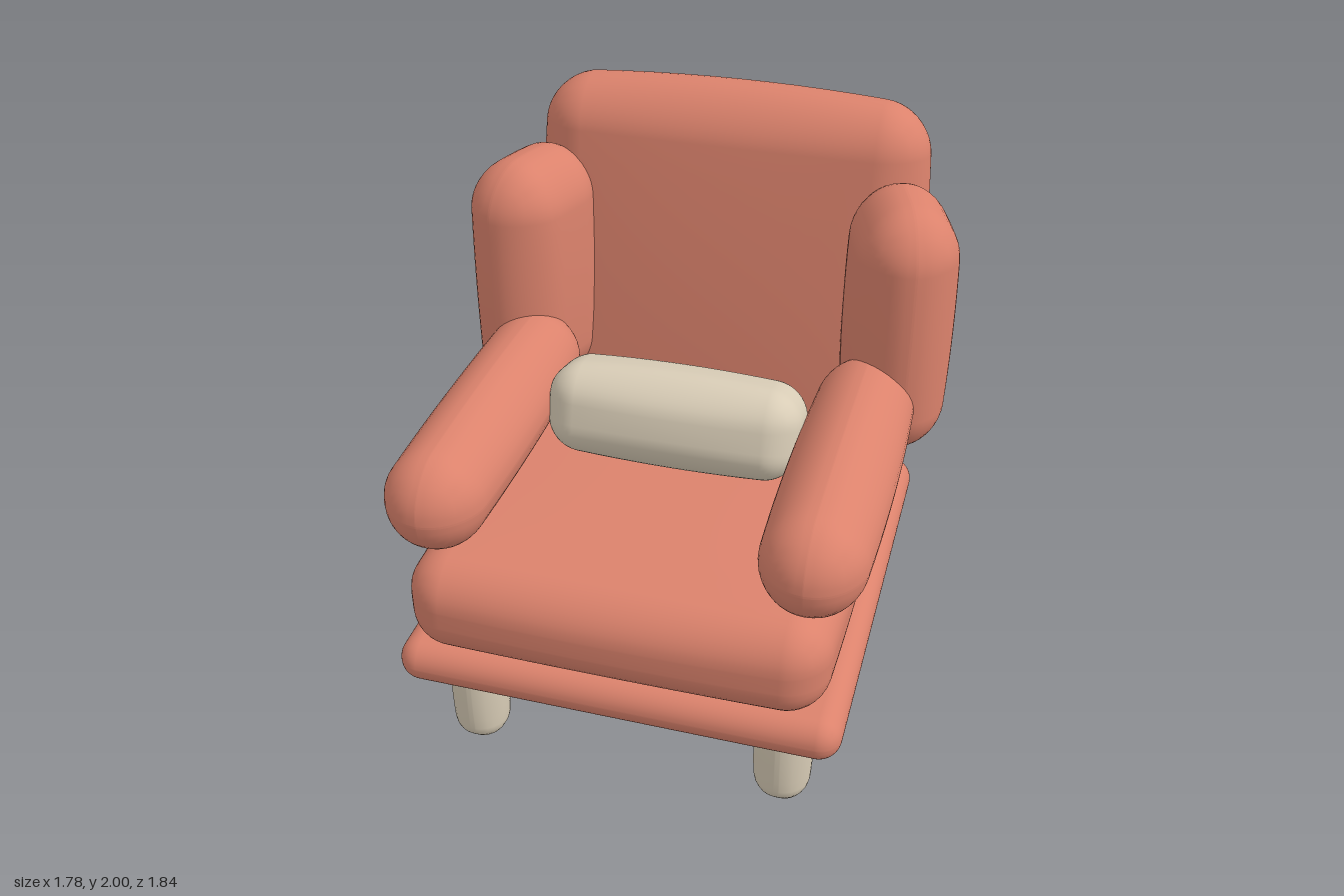
import * as THREE from 'three';
import { mergeVertices } from 'three/addons/utils/BufferGeometryUtils.js';

// Soft rounded block: overall size includes the outward puff of each face.
function cushionGeometry(size, radius, puff = [0, 0, 0], n = 20) {
  const half = size.map((s, i) => s / 2 - puff[i]);
  const inner = half.map((h) => Math.max(h - radius, 0.001));
  let geo = new THREE.BoxGeometry(2, 2, 2, n, n, n);
  geo.deleteAttribute('uv');
  geo.deleteAttribute('normal');
  geo = mergeVertices(geo, 1e-4);
  const pos = geo.attributes.position;
  const dir = new THREE.Vector3();
  for (let v = 0; v < pos.count; v++) {
    const core = [], out = [];
    for (let i = 0; i < 3; i++) {
      const t = pos.getComponent(v, i), a = Math.abs(t), s = Math.sign(t);
      // outer half of the grid forms the rounded edge, inner half the flat face
      core[i] = s * inner[i] * Math.min(a / 0.5, 1);
      out[i] = a > 0.5 ? s * Math.tan((a - 0.5) * Math.PI / 2) : 0;
    }
    dir.fromArray(out).normalize().multiplyScalar(radius);
    const p = core.map((c, i) => c + dir.getComponent(i));
    const q = p.map((c, i) => Math.min(Math.abs(c / half[i]), 1));
    for (let i = 0; i < 3; i++) {
      const j = (i + 1) % 3, k = (i + 2) % 3;
      const swell = (1 - q[j] ** 2) * (1 - q[k] ** 2);
      p[i] += puff[i] * (p[i] / half[i]) * swell;
    }
    pos.setXYZ(v, ...p);
  }
  geo.computeVertexNormals();
  return geo;
}

export function createModel() {
  const model = new THREE.Group();
  model.name = 'armchair';

  const coral = new THREE.MeshStandardMaterial({ color: 0xdb826c });
  coral.name = 'coral fabric';
  const cream = new THREE.MeshStandardMaterial({ color: 0xd8ccb6 });
  cream.name = 'cream';

  function add(name, geo, material, position, rotation = [0, 0, 0]) {
    const mesh = new THREE.Mesh(geo, material);
    mesh.name = name;
    mesh.position.set(...position);
    mesh.rotation.set(...rotation);
    model.add(mesh);
  }

  // Base and seat
  add('base', cushionGeometry([1.54, 0.16, 1.63], 0.078), coral, [0, 0.43, 0.065]);
  add('seatCushion', cushionGeometry([1.45, 0.385, 1.4], 0.14, [0.015, 0.015, 0.02]),
    coral, [0, 0.7, 0.22]);

  // Leaning backrest
  add('backrest', cushionGeometry([1.48, 1.51, 0.39], 0.165, [0.035, 0.035, 0.025]),
    coral, [0, 1.25, -0.68], [-0.115, 0, 0]);

  // Bolster pillow
  add('pillow', cushionGeometry([0.915, 0.36, 0.345], 0.11, [0.012, 0.022, 0.022]),
    cream, [0, 1.06, 0.04], [-0.25, 0, 0]);

  // Mirrored arms, wings and legs
  const armGeo = cushionGeometry([0.37, 0.375, 1.26], 0.163, [0.02, 0.02, 0.01]);
  const wingGeo = cushionGeometry([0.375, 0.96, 0.53], 0.165, [0.018, 0.025, 0.018]);
  const legGeo = cushionGeometry([0.205, 0.42, 0.205], 0.08, [0.012, 0.004, 0.012], 12);
  for (const [side, s] of [['left', 1], ['right', -1]]) {
    add(side + 'Arm', armGeo, coral, [s * 0.625, 1.058, 0.25]);
    add(side + 'Wing', wingGeo, coral, [s * 0.685, 1.3, -0.437], [-0.01, s * 0.32, 0]);
    add(side + 'FrontLeg', legGeo, cream, [s * 0.555, 0.21, 0.67]);
    add(side + 'BackLeg', legGeo, cream, [s * 0.555, 0.21, -0.535]);
  }
  return model;
}
